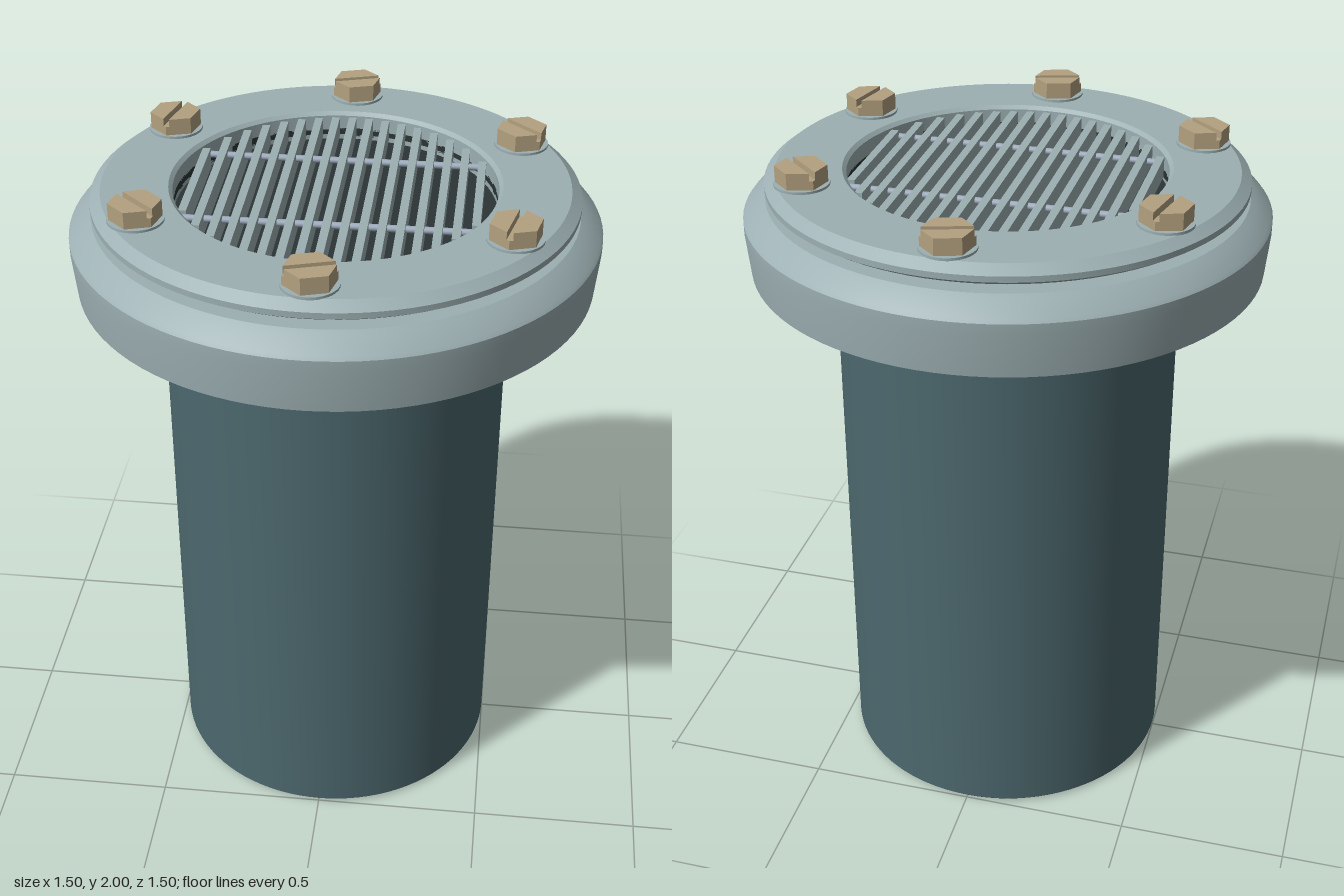
import * as THREE from 'three';
import { toCreasedNormals } from 'three/addons/utils/BufferGeometryUtils.js';

const paint = (name, color) => {
  const m = new THREE.MeshStandardMaterial({ color });
  m.name = name;
  return m;
};

export function createModel() {
  const model = new THREE.Group();
  model.name = 'floorDrain';
  const tubeColor = paint('slateTeal', 0x4c686e);
  const metal = paint('paleGreyGreen', 0x9db0b3);
  const brass = paint('brass', 0xb3a180);
  const dark = paint('darkInterior', 0x2b3435);
  const crossMetal = paint('blueGrey', 0x9caabb);

  const add = (parent, name, geometry, material, y = 0) => {
    const mesh = new THREE.Mesh(geometry, material);
    mesh.name = name;
    mesh.position.y = y;
    parent.add(mesh);
    return mesh;
  };
  // closed ring turned from [radius, height] points, listed outer side upward
  const ring = (points) => {
    const profile = [...points, points[0]].map(([r, y]) => new THREE.Vector2(r, y));
    return toCreasedNormals(new THREE.LatheGeometry(profile, 96), 0.3);
  };

  const inner = 0.455;

  // pipe and its dark interior
  add(model, 'pipe', ring([[inner, 0], [0.49, 0], [0.5, 0.01], [0.5, 1.67], [inner, 1.67]]), tubeColor);
  add(model, 'pipeInterior', new THREE.CylinderGeometry(inner, inner, 1.857, 64), dark, 0.9325);

  // flange, gasket and cover ring
  add(model, 'flange', ring([
    [inner, 1.665], [0.738, 1.665], [0.75, 1.79], [0.75, 1.822],
    [0.742, 1.832], [0.7, 1.865], [0.685, 1.875], [inner, 1.875],
  ]), metal);
  add(model, 'gasket', ring([[inner, 1.87], [0.54, 1.87], [0.54, 1.895], [inner, 1.895]]), dark);
  add(model, 'coverRing', ring([
    [inner, 1.89], [0.662, 1.89], [0.685, 1.905], [0.685, 1.922],
    [0.655, 1.945], [0.466, 1.945], [inner, 1.935],
  ]), metal);

  // grate: long bars along z, two cross bars along x
  const grate = new THREE.Group();
  grate.name = 'grate';
  model.add(grate);
  const chord = (d) => 2 * Math.sqrt(inner * inner - d * d);
  for (let i = -8; i <= 8; i++) {
    const x = i * 0.05;
    const bar = add(grate, 'grateBar', new THREE.BoxGeometry(0.023, 0.06, chord(Math.abs(x) + 0.01)), metal, 1.9);
    bar.position.x = x;
  }
  for (const z of [-0.2, 0.2]) {
    const rod = add(grate, 'crossBar',
      new THREE.CylinderGeometry(0.01, 0.01, chord(0.21), 12).rotateZ(Math.PI / 2), crossMetal, 1.91);
    rod.position.z = z;
  }

  // slotted hexagon bolts
  const R = 0.073, slot = 0.009, h = R * Math.sqrt(3) / 2;
  const half = new THREE.Shape([
    [R - slot / Math.sqrt(3), slot], [R / 2, h], [-R / 2, h], [-R + slot / Math.sqrt(3), slot],
  ].map(([x, y]) => new THREE.Vector2(x, y)));
  const halfHead = new THREE.ExtrudeGeometry(half, { depth: 0.022, bevelEnabled: false }).rotateX(-Math.PI / 2);
  const headBase = toCreasedNormals(new THREE.CylinderGeometry(R, R, 0.028, 6).rotateY(Math.PI / 6), 0.3);
  const washer = new THREE.CylinderGeometry(0.078, 0.078, 0.008, 32);
  const shank = new THREE.CylinderGeometry(0.024, 0.024, 0.29, 20);
  for (let i = 0; i < 6; i++) {
    const arm = new THREE.Group();
    arm.name = 'boltMount';
    arm.rotation.y = i * Math.PI / 3;
    model.add(arm);
    const bolt = new THREE.Group();
    bolt.name = 'bolt';
    bolt.position.z = 0.585;
    bolt.rotation.y = 0.3;
    arm.add(bolt);
    add(bolt, 'boltShank', shank, metal, 1.805);
    add(bolt, 'washer', washer, metal, 1.948);
    add(bolt, 'boltHeadBase', headBase, brass, 1.964);
    for (const turn of [0, Math.PI]) {
      add(bolt, 'boltHeadHalf', halfHead, brass, 1.978).rotation.y = turn;
    }
  }
  return model;
}
